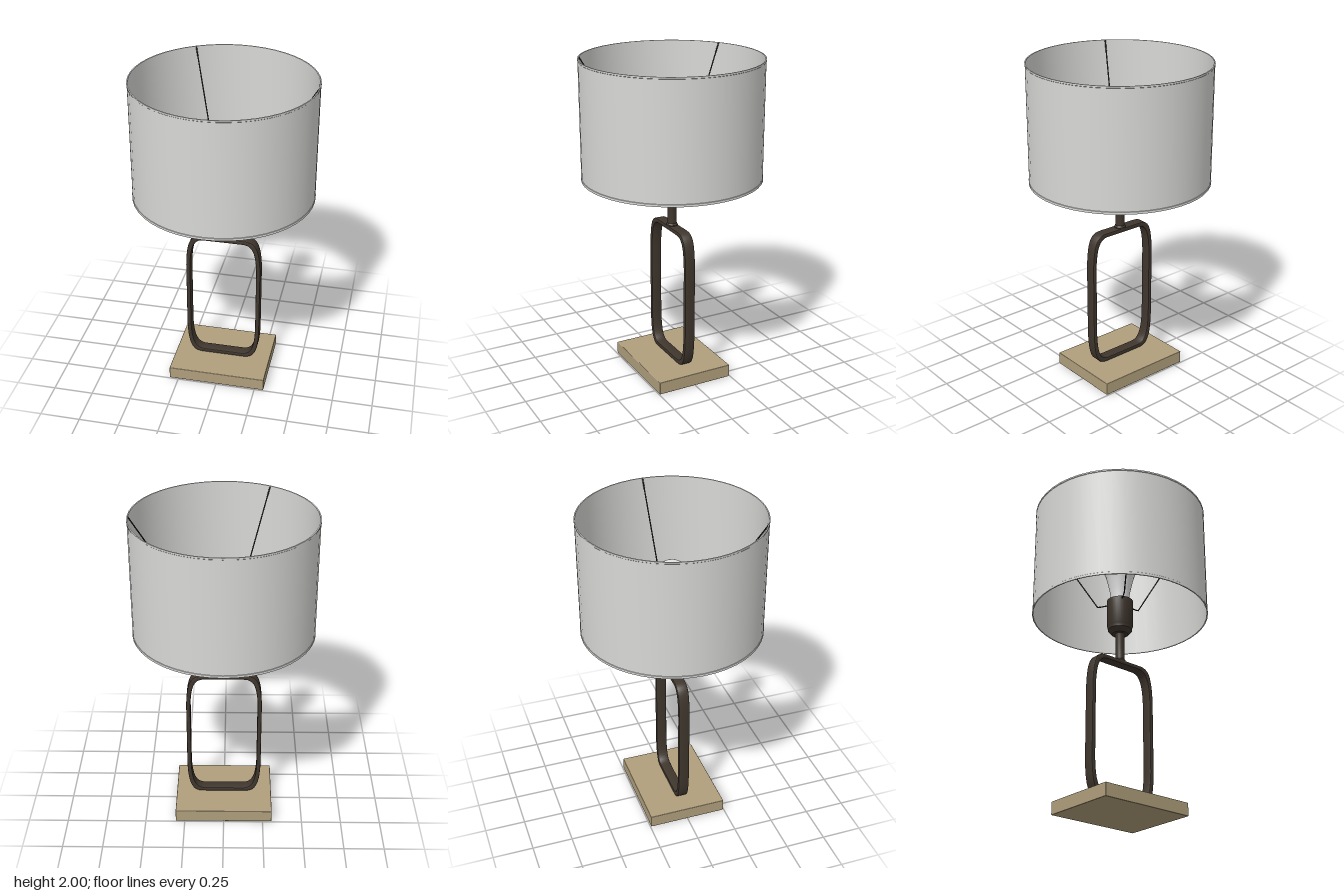
import * as THREE from 'three';
import { toCreasedNormals } from 'three/addons/utils/BufferGeometryUtils.js';
import { RoundedBoxGeometry } from 'three/addons/geometries/RoundedBoxGeometry.js';

const material = (name, color) => {
  const m = new THREE.MeshStandardMaterial({ color });
  m.name = name;
  return m;
};

// Surface of revolution from [radius, height] pairs, bottom to top on the outside
const lathe = (points, segments) => toCreasedNormals(
  new THREE.LatheGeometry(points.map(([r, y]) => new THREE.Vector2(r, y)), segments), 0.5);

// Tall loop with soft corners, drawn a quarter at a time
function softLoop(target, w, h, inset) {
  const x = w - inset, y = h - inset;
  const flat = 0.13 - inset * 0.4, side = h - 0.22;
  target.moveTo(x, -side);
  target.lineTo(x, side);
  target.bezierCurveTo(x - 0.005, y - 0.035, x - 0.035, y, flat, y);
  target.lineTo(-flat, y);
  target.bezierCurveTo(-x + 0.035, y, -x + 0.005, y - 0.035, -x, side);
  target.lineTo(-x, -side);
  target.bezierCurveTo(-x + 0.005, -y + 0.035, -x + 0.035, -y, -flat, -y);
  target.lineTo(flat, -y);
  target.bezierCurveTo(x - 0.035, -y, x - 0.005, -y + 0.035, x, -side);
  return target;
}

export function createModel() {
  const lamp = new THREE.Group();
  lamp.name = 'tableLamp';

  const tan = material('tan base', 0xb09f7c);
  const bronze = material('dark bronze', 0x40372e);
  const black = material('black wire', 0x1c1a17);
  const fabric = material('shade fabric', 0xd8d8d6);
  const glass = material('bulb glass', 0xeeeeee);

  const add = (name, geometry, mat, parent = lamp) => {
    const mesh = new THREE.Mesh(geometry, mat);
    mesh.name = name;
    parent.add(mesh);
    return mesh;
  };

  // Base slab
  add('base', new RoundedBoxGeometry(0.615, 0.08, 0.49, 2, 0.004), tan).position.y = 0.04;

  // Flat-bar loop standing on the base
  const shape = softLoop(new THREE.Shape(), 0.236, 0.443, 0);
  shape.holes.push(softLoop(new THREE.Path(), 0.236, 0.443, 0.026));
  const bevel = 0.006;
  const loop = new THREE.ExtrudeGeometry(shape, {
    depth: 0.068 - bevel * 2, curveSegments: 12,
    bevelThickness: bevel, bevelSize: bevel, bevelOffset: -bevel, bevelSegments: 2,
  });
  loop.translate(0, 0.522, -0.034 + bevel);
  add('frame', toCreasedNormals(loop, 0.6), bronze);

  // Neck with a small foot flange
  add('neck', lathe([
    [0, 0.955], [0.035, 0.955], [0.035, 0.97], [0.028, 0.98],
    [0.028, 1.13], [0.033, 1.155], [0, 1.155],
  ], 24), bronze);

  // Bulb socket
  add('socket', lathe([
    [0, 1.15], [0.05, 1.15], [0.075, 1.178], [0.077, 1.2],
    [0.082, 1.21], [0.082, 1.38], [0, 1.38],
  ], 32), bronze);

  // Bulb: concave neck flowing into a round globe
  const bulb = [[0.055, 1.375], [0.058, 1.41], [0.066, 1.46], [0.08, 1.52]];
  for (let i = 0; i <= 12; i++) {
    const a = THREE.MathUtils.lerp(-0.5, Math.PI / 2, i / 12);
    bulb.push([Math.max(0, 0.103 * Math.cos(a)), 1.61 + 0.103 * Math.sin(a)]);
  }
  add('bulb', lathe(bulb, 32), glass);

  // Drum shade, open at both ends, with a slim hem
  add('shade', lathe([
    [0.54, 1.272], [0.547, 1.272], [0.547, 1.286], [0.545, 1.288], [0.545, 1.988],
    [0.547, 1.99], [0.547, 2], [0.54, 2], [0.54, 1.272],
  ], 48), fabric);

  // Three bent wires carry the shade
  const spider = new THREE.Group();
  spider.name = 'shadeSupport';
  lamp.add(spider);
  const wirePath = new THREE.CurvePath();
  const knots = [[0.07, 1.366], [0.15, 1.366], [0.542, 1.996]].map(([x, y]) => new THREE.Vector3(x, y, 0));
  wirePath.add(new THREE.LineCurve3(knots[0], knots[1]));
  wirePath.add(new THREE.LineCurve3(knots[1], knots[2]));
  const wire = new THREE.TubeGeometry(wirePath, 40, 0.004, 8);
  for (let i = 0; i < 3; i++) {
    add('supportWire', wire, black, spider).rotation.y = i * Math.PI * 2 / 3;
  }

  return lamp;
}
